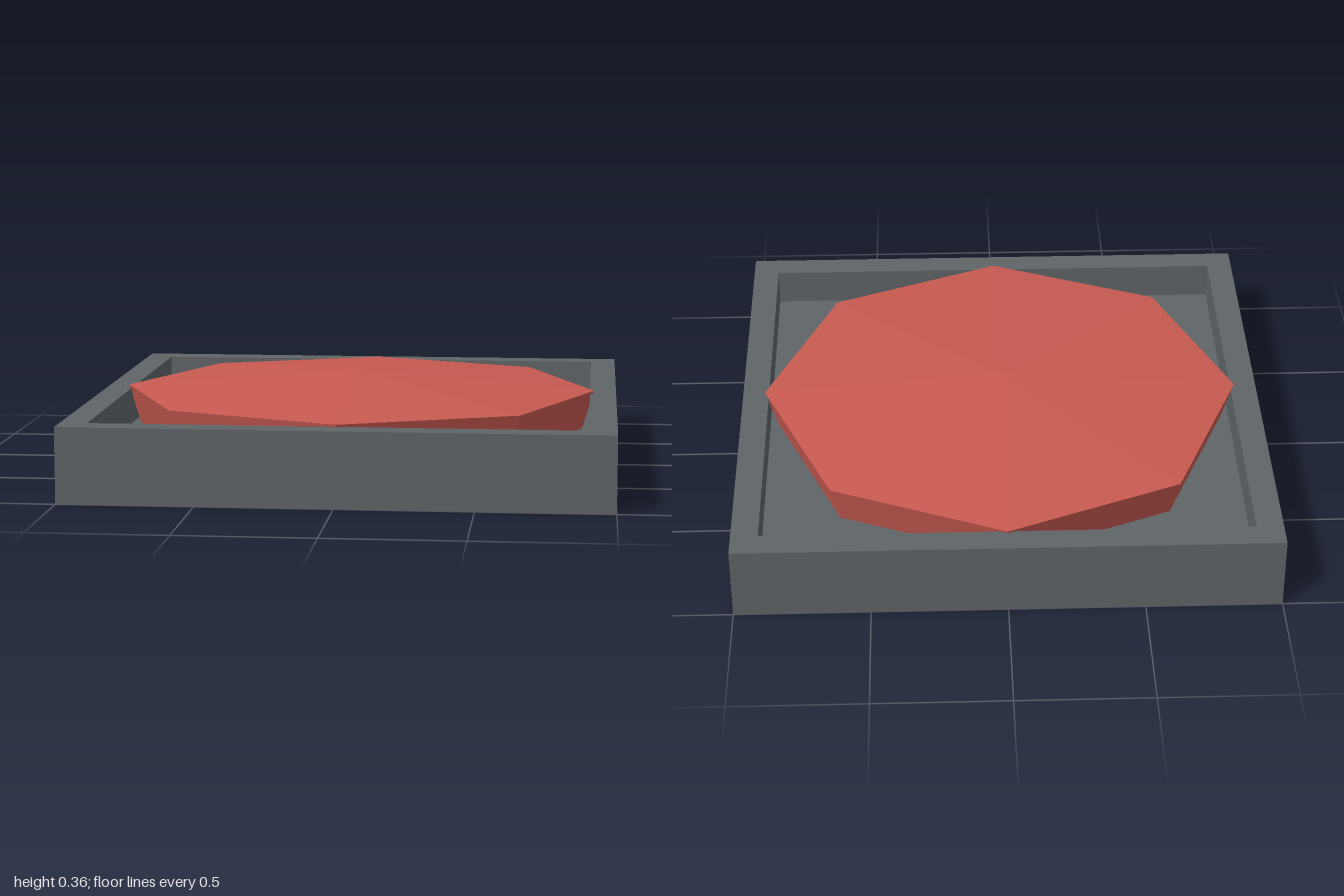
import * as THREE from 'three';

export function createModel() {
  const model = new THREE.Group();
  const trayGrey = new THREE.MeshStandardMaterial({ color: 0x5f6467 });
  const domeRed = new THREE.MeshStandardMaterial({ color: 0xc85a51 });
  trayGrey.name = 'trayGrey';
  domeRed.name = 'domeRed';
  trayGrey.flatShading = domeRed.flatShading = true;

  const height = 0.28, inner = 0.9, floorY = 0.14;
  const add = (name, geometry, material, y) => {
    const mesh = new THREE.Mesh(geometry, material);
    mesh.name = name;
    mesh.position.y = y;
    model.add(mesh);
    return mesh;
  };

  // Square tray wall with an open middle
  const square = (h) => [[-h, -h], [h, -h], [h, h], [-h, h]].map(([x, y]) => new THREE.Vector2(x, y));
  const outline = new THREE.Shape(square(1));
  outline.holes.push(new THREE.Path(square(inner)));
  const wall = new THREE.ExtrudeGeometry(outline, { depth: height, bevelEnabled: false });
  wall.rotateX(-Math.PI / 2);
  add('trayWall', wall, trayGrey, 0);

  // Tray floor
  add('trayFloor', new THREE.BoxGeometry(inner * 2, floorY, inner * 2), trayGrey, floorY / 2);

  // Eight-sided dome: flared side below a shallow peak, corners on the axes
  const profile = [[0, floorY + 0.001], [0.87, floorY + 0.001], [0.915, 0.29], [0, 0.362]];
  const dome = new THREE.LatheGeometry(profile.map(([r, y]) => new THREE.Vector2(r, y)), 8);
  add('dome', dome, domeRed, 0);

  return model;
}
